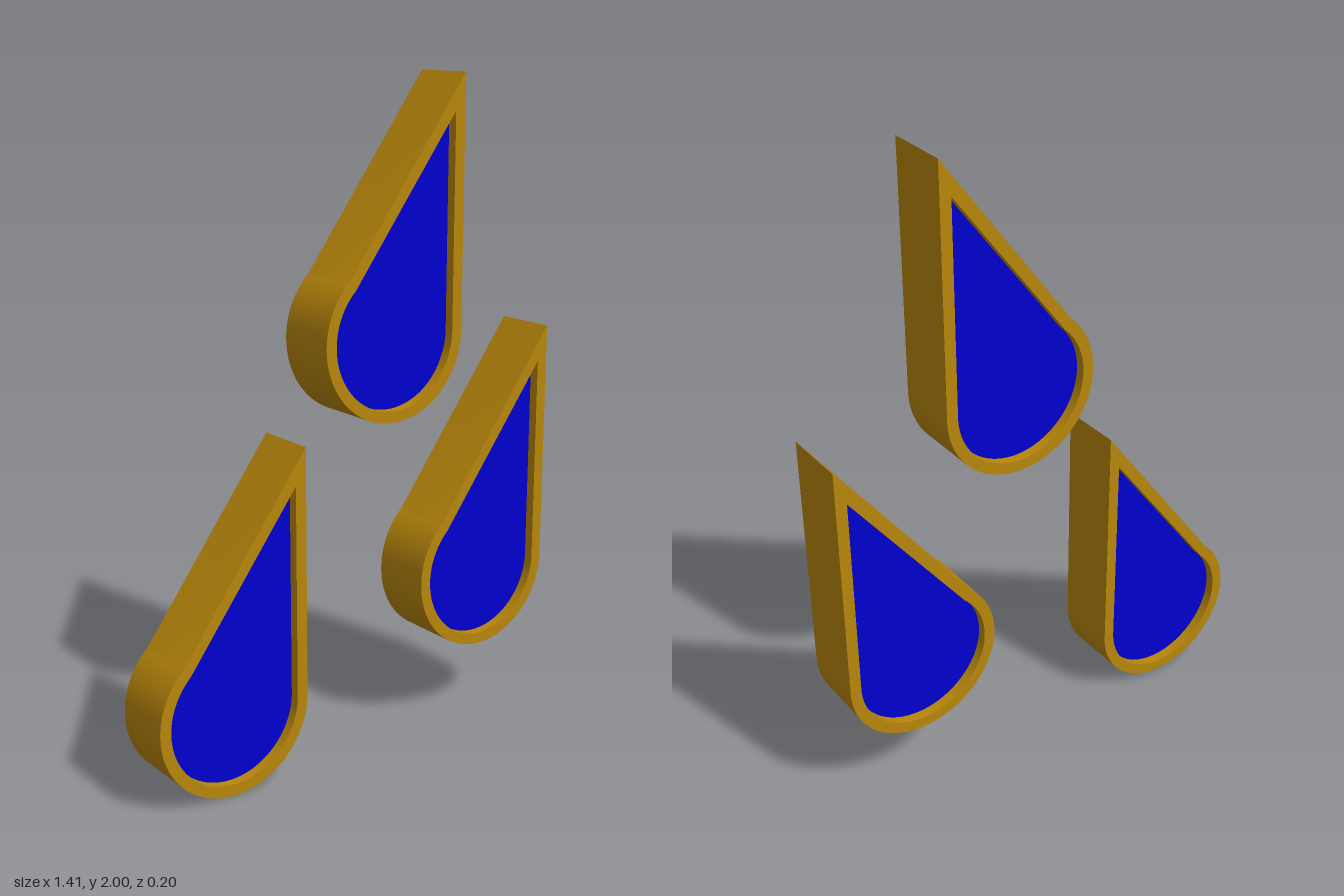
import * as THREE from 'three';
import { toCreasedNormals } from 'three/addons/utils/BufferGeometryUtils.js';

const DEPTH = 0.196;   // frame thickness
const RECESS = 0.03;   // how far the panel sits behind the rim, on both sides
const CX = -0.247, CY = -0.743; // round end's centre, measured from the tip

// Teardrop outline: round bottom, upright right side, slanted left side
function drop(radius, tipX, tipY, endAngle, PathType) {
  const p = new PathType();
  p.moveTo(tipX, tipY);
  const a = endAngle * Math.PI / 180;
  p.lineTo(CX + radius * Math.cos(a), CY + radius * Math.sin(a));
  p.absarc(CX, CY, radius, a, Math.PI * 2, false);
  p.closePath();
  return p;
}

function extrude(shape, depth) {
  const g = new THREE.ExtrudeGeometry(shape, { depth, bevelEnabled: false, curveSegments: 40 });
  g.translate(0, 0, -depth / 2);
  return toCreasedNormals(g, 0.35);
}

export function createModel() {
  const model = new THREE.Group();
  const gold = new THREE.MeshStandardMaterial({ color: 0xb8860b });
  const blue = new THREE.MeshStandardMaterial({ color: 0x0000cd });

  // Rim with a teardrop opening, and the panel filling it
  const inner = [0.212, -0.035, -0.108, 133.5];
  const frameShape = drop(0.247, 0, 0, 132, THREE.Shape);
  frameShape.holes.push(drop(...inner, THREE.Path));
  const frameGeo = extrude(frameShape, DEPTH);
  const panelGeo = extrude(drop(...inner, THREE.Shape), DEPTH - 2 * RECESS);

  // Three identical drops, placed by their tips
  const tips = { topDrop: [0.353, 2], rightDrop: [-0.214, 0.99], leftDrop: [0.706, 1.225] };
  for (const [name, [x, y]] of Object.entries(tips)) {
    const group = new THREE.Group();
    group.name = name;
    const frame = new THREE.Mesh(frameGeo, gold);
    frame.name = 'frame';
    const panel = new THREE.Mesh(panelGeo, blue);
    panel.name = 'panel';
    group.add(frame, panel);
    group.position.set(x, y, 0);
    model.add(group);
  }
  return model;
}
